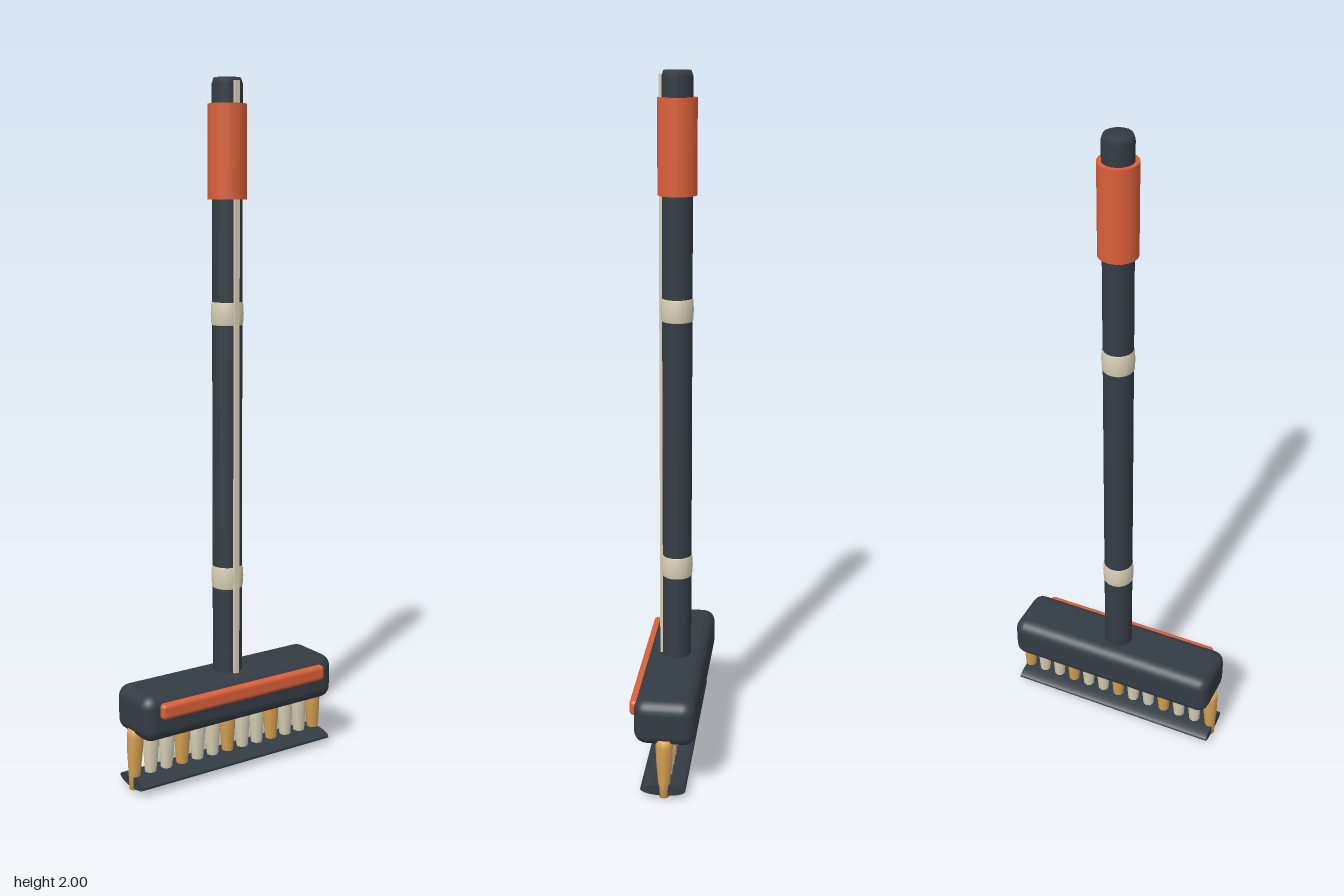
import * as THREE from 'three';
import { RoundedBoxGeometry } from 'three/addons/geometries/RoundedBoxGeometry.js';

const material = (name, color) => {
  const m = new THREE.MeshStandardMaterial({ color });
  m.name = name;
  return m;
};

export function createModel() {
  const charcoal = material('charcoal', 0x343c44);
  const orange = material('orange', 0xdb6039);
  const cream = material('cream', 0xd8d0b6);
  const gold = material('gold', 0xd6a152);

  const broom = new THREE.Group();
  broom.name = 'broom';
  const add = (name, geometry, mat, x = 0, y = 0, z = 0) => {
    const mesh = new THREE.Mesh(geometry, mat);
    mesh.name = name;
    mesh.position.set(x, y, z);
    broom.add(mesh);
    return mesh;
  };
  const lathe = (points, sides) =>
    new THREE.LatheGeometry(points.map(([r, y]) => new THREE.Vector2(r, y)), sides);
  const Z = -0.01; // centre line of the pole and bristles

  // Pole with a softened top edge
  add('pole', lathe([[0.043, 0.27], [0.043, 1.985], [0.038, 2], [0, 2]], 20), charcoal, 0, 0, Z);

  // Pale inlay running up the front of the pole
  add('poleStripe', new THREE.BoxGeometry(0.016, 1.70, 0.009), cream, 0, 1.14, 0.0355);

  // Hand grip
  add('grip', new THREE.CylinderGeometry(0.055, 0.055, 0.26, 20), orange, 0, 1.80, Z);

  // Bulged collars
  for (const y of [0.583, 1.352]) {
    add('collar', lathe([[0.042, -0.034], [0.045, -0.03], [0.047, 0], [0.045, 0.03], [0.042, 0.034]], 20),
      cream, 0, y, Z);
  }

  // Head block and front bumper
  add('headBlock', new RoundedBoxGeometry(0.672, 0.136, 0.177, 3, 0.036), charcoal, 0, 0.228, Z);
  add('bumper', new RoundedBoxGeometry(0.578, 0.046, 0.03, 3, 0.012), orange, 0, 0.253, 0.08);

  // Bristle tufts, splayed slightly outwards, every third one gold
  const tuft = lathe([[0, 0], [0.014, 0], [0.018, 0.05], [0.023, 0.11], [0.025, 0.16], [0.022, 0.18], [0, 0.18]], 8);
  for (let i = -6; i <= 6; i++) {
    const mesh = add('bristleTuft', tuft, i % 3 === 0 ? gold : cream, i * 0.0543, 0.001, Z);
    mesh.rotation.z = i * 0.006;
  }

  // Flat oval bar through which the tuft tips pass
  const bar = new THREE.CylinderGeometry(1, 1, 0.67, 20);
  bar.rotateZ(Math.PI / 2);
  bar.scale(1, 0.017, 0.065);
  add('lowerBar', bar, charcoal, 0, 0.025, Z + 0.003);

  return broom;
}
